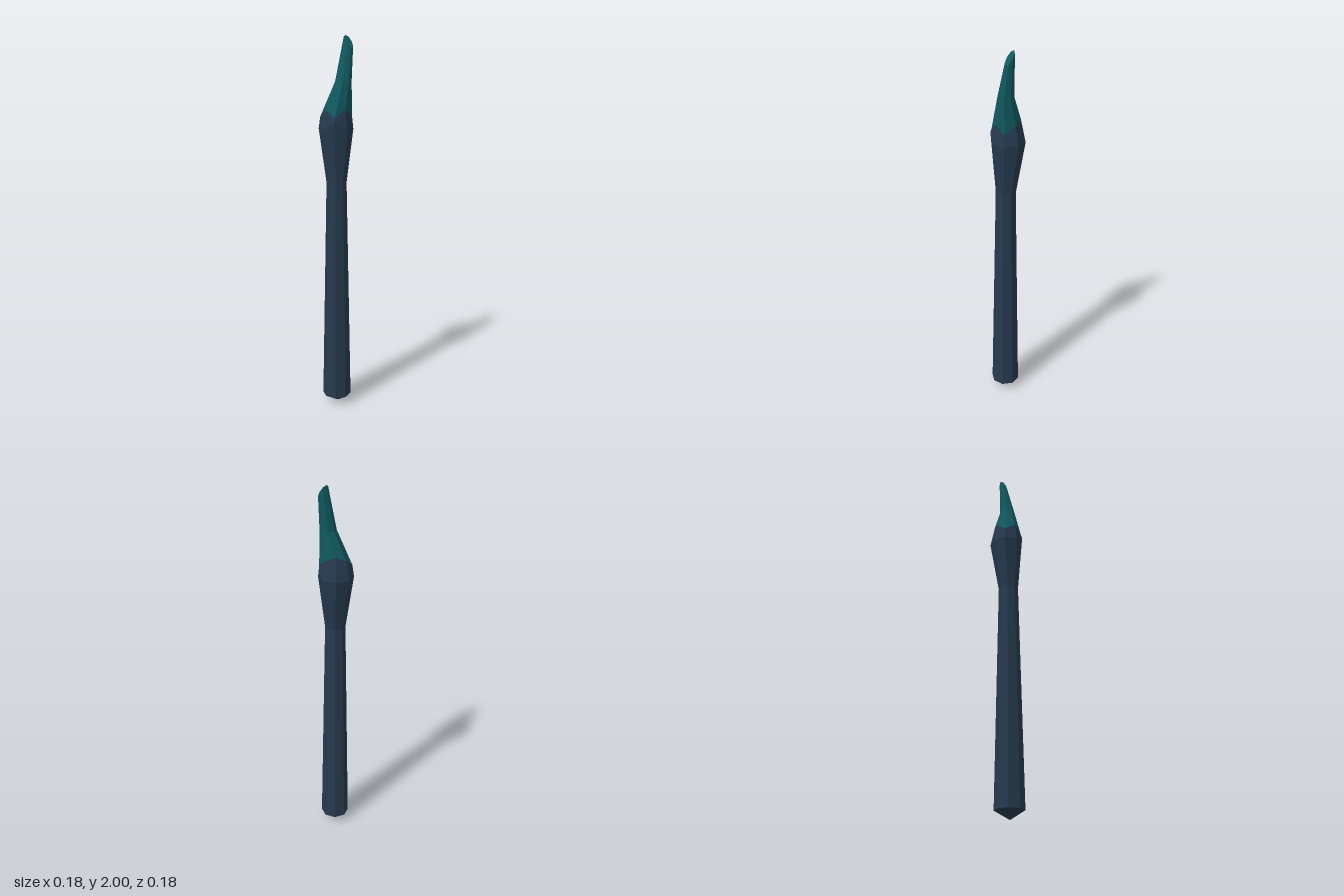
import * as THREE from 'three';

const SIDES = 8;

// One eight-cornered cross-section; lift(i, dx, dz) may move each corner up or down.
function ring(y, cx, cz, r, lift = () => 0, shrink = () => 1) {
  return Array.from({ length: SIDES }, (_, i) => {
    const a = (i / SIDES) * Math.PI * 2;
    const dx = Math.cos(a) * r * shrink(i);
    const dz = Math.sin(a) * r * shrink(i);
    return new THREE.Vector3(cx + dx, y + lift(i, dx, dz), cz + dz);
  });
}

// Joins rings from bottom to top with facets, skipping collapsed triangles.
function loft(rings) {
  const points = [];
  const tri = (a, b, c) => {
    if (a.distanceTo(b) > 1e-5 && b.distanceTo(c) > 1e-5 && c.distanceTo(a) > 1e-5) points.push(a, b, c);
  };
  for (let k = 0; k < rings.length - 1; k++) {
    for (let i = 0; i < SIDES; i++) {
      const j = (i + 1) % SIDES;
      const low = rings[k], high = rings[k + 1];
      tri(low[i], high[i], high[j]);
      tri(low[i], high[j], low[j]);
    }
  }
  const geometry = new THREE.BufferGeometry().setFromPoints(points);
  geometry.computeVertexNormals();
  return geometry;
}

export function createModel() {
  const group = new THREE.Group();
  group.name = 'paintbrush';
  const navy = new THREE.MeshStandardMaterial({ color: 0x263a4e, flatShading: true });
  navy.name = 'navy handle';
  const teal = new THREE.MeshStandardMaterial({ color: 0x10595f, flatShading: true });
  teal.name = 'teal bristles';

  // Zigzag seam shared by handle and bristles: corner 6 faces the back.
  const seam = ring(1.59, 0, 0.002, 0.087,
    (i) => (i === 6 ? 0.06 : i % 2 ? 0.04 : 0),
    (i) => (i === 6 ? 0.76 : i % 2 ? 0.84 : 0.95));

  // Tapered handle with a pointed foot and a swollen collar
  const handle = new THREE.Mesh(loft([
    ring(0, 0.01, 0.018, 0),
    ring(0.045, 0.006, 0.016, 0.077),
    ring(1.25, 0.003, 0.012, 0.053),
    ring(1.53, -0.001, 0.001, 0.09, (i) => (i === 2 ? 0.04 : 0)),
    seam,
  ]), navy);
  handle.name = 'handle';
  group.add(handle);

  // Bristles sweep to the left and end in a slanted cut
  const slant = (i, dx, dz) => -1.0 * (dx + dz);
  const bristles = new THREE.Mesh(loft([
    seam,
    ring(1.77, 0.037, 0.003, 0.042),
    ring(1.965, 0.06, -0.02, 0.024, slant),
    ring(1.965, 0.06, -0.02, 0),
  ]), teal);
  bristles.name = 'bristles';
  group.add(bristles);

  return group;
}
